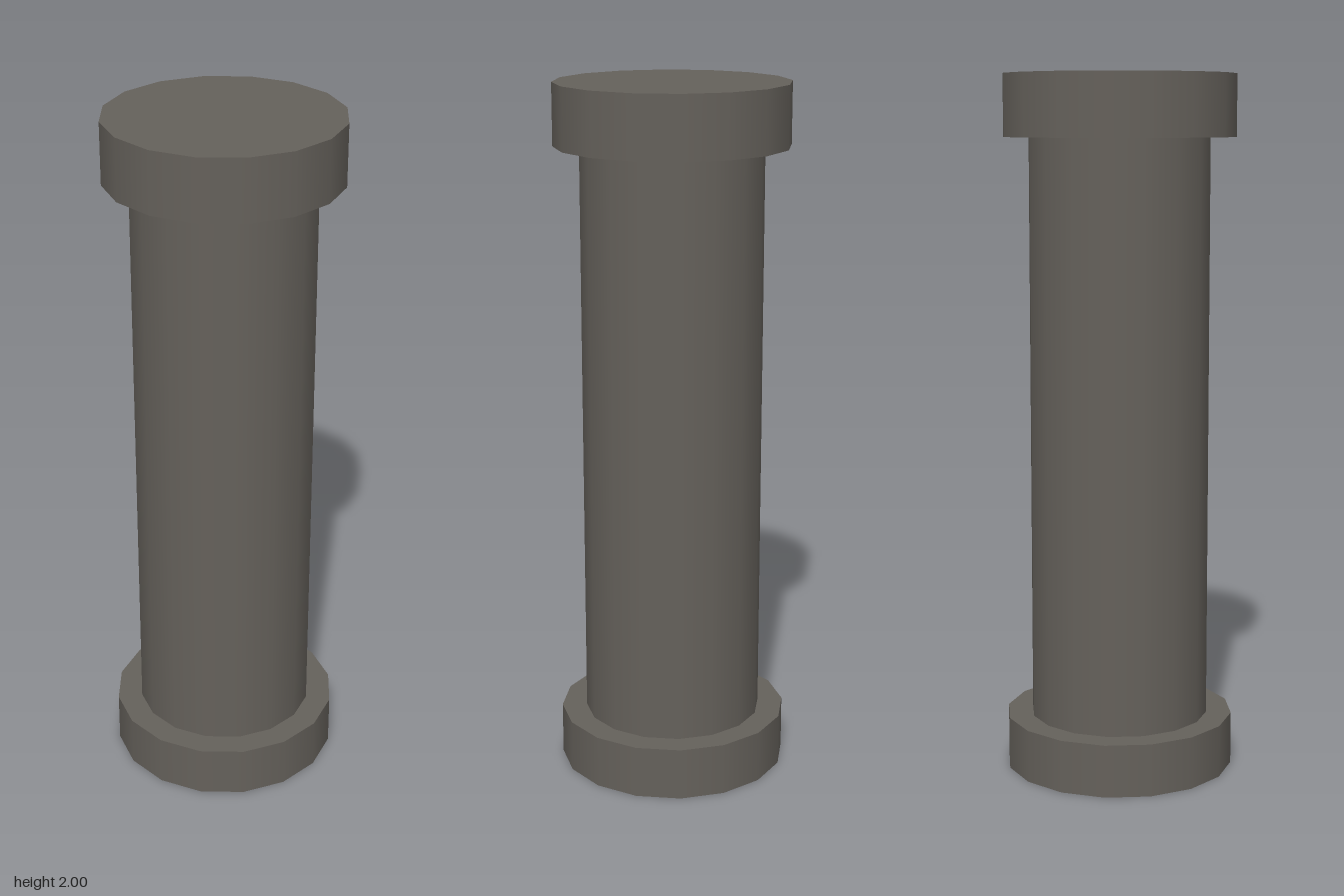
import * as THREE from 'three';
import { mergeGeometries } from 'three/addons/utils/BufferGeometryUtils.js';

const SIDES = 16;
const COLLAR_R = 0.331, SHAFT_R = 0.258, SOCKET_R = 0.25;
const SHAFT_BOTTOM = 0.152, SHAFT_TOP = 1.825, SOCKET_TOP = 0.14;

// Revolves each profile segment separately: smooth around, sharp at the corners.
function turned(name, profile, material) {
  const points = profile.map(([r, y]) => new THREE.Vector2(r, y));
  const bands = points.slice(1).map((p, i) => new THREE.LatheGeometry([points[i], p], SIDES));
  const mesh = new THREE.Mesh(mergeGeometries(bands), material);
  mesh.name = name;
  return mesh;
}

export function createModel() {
  const group = new THREE.Group();
  group.name = 'column';
  const stone = new THREE.MeshStandardMaterial({ color: 0x65615b });
  stone.name = 'dark warm grey';

  // Base collar, with a round socket underneath
  group.add(turned('baseCollar', [
    [0, SOCKET_TOP], [SOCKET_R, SOCKET_TOP], [SOCKET_R, 0],
    [COLLAR_R, 0], [COLLAR_R, SHAFT_BOTTOM], [SHAFT_R, SHAFT_BOTTOM],
  ], stone));

  // Straight shaft
  group.add(turned('shaft', [[SHAFT_R, SHAFT_BOTTOM], [SHAFT_R, SHAFT_TOP]], stone));

  // Closed top collar
  group.add(turned('topCollar', [
    [SHAFT_R, SHAFT_TOP], [COLLAR_R, SHAFT_TOP], [COLLAR_R, 2], [0, 2],
  ], stone));

  return group;
}
